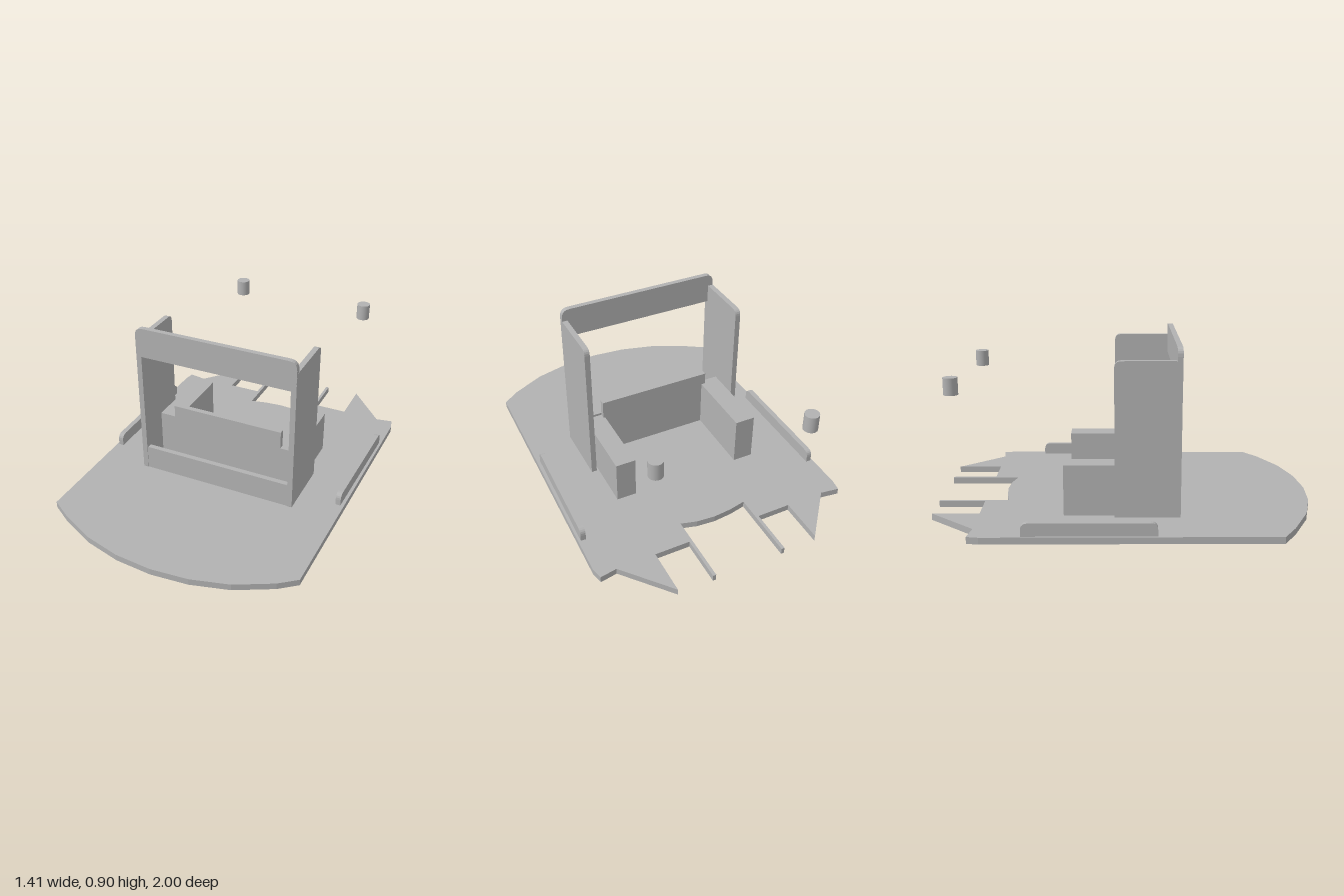
import * as THREE from 'three';

const grey = new THREE.MeshStandardMaterial({ color: 0xb2b2b2 });
grey.name = 'plain grey';

// Rounded rectangle from (a0, b0) to (a1, b1); rTop and rBottom are corner radii
function roundedRect(a0, b0, a1, b1, rTop, rBottom) {
  const s = new THREE.Shape();
  s.moveTo(a0 + rBottom, b0);
  s.lineTo(a1 - rBottom, b0);
  if (rBottom) s.quadraticCurveTo(a1, b0, a1, b0 + rBottom);
  s.lineTo(a1, b1 - rTop);
  s.quadraticCurveTo(a1, b1, a1 - rTop, b1);
  s.lineTo(a0 + rTop, b1);
  s.quadraticCurveTo(a0, b1, a0, b1 - rTop);
  s.lineTo(a0, b0 + rBottom);
  if (rBottom) s.quadraticCurveTo(a0, b0, a0 + rBottom, b0);
  return s;
}

function slab(shape, depth) {
  const g = new THREE.ExtrudeGeometry(shape, { depth, bevelEnabled: false, curveSegments: 5 });
  return g.translate(0, 0, -depth / 2);
}

export function createModel() {
  const model = new THREE.Group();
  model.name = 'deckWithFrame';

  function add(name, geometry, x = 0, y = 0, z = 0) {
    const mesh = new THREE.Mesh(geometry, grey);
    mesh.name = name;
    mesh.position.set(x, y, z);
    model.add(mesh);
    return mesh;
  }
  function addBox(name, x0, x1, y0, y1, z0, z1) {
    return add(name, new THREE.BoxGeometry(x1 - x0, y1 - y0, z1 - z0),
      (x0 + x1) / 2, (y0 + y1) / 2, (z0 + z1) / 2);
  }

  // Deck: bowed front edge, notched tail with two thin prongs, shallow arc between them
  const T = 0.035;
  const outline = [
    [-0.71, 0.76], [-0.6, 0.83], [-0.4, 0.927], [-0.2, 0.98], [0, 0.997],
    [0.2, 0.98], [0.4, 0.927], [0.59, 0.83], [0.68, 0.76],
    [0.705, -0.71], [0.69, -0.77], [0.6, -0.755], [0.39, -1], [0.39, -0.755],
    [0.2, -0.755], [0.2, -1], [0.183, -1], [0.183, -0.625], [0.1, -0.648],
    [0, -0.657], [-0.1, -0.648], [-0.19, -0.63], [-0.19, -1], [-0.207, -1],
    [-0.207, -0.755], [-0.39, -0.755], [-0.39, -1], [-0.6, -0.755],
    [-0.7, -0.77], [-0.71, -0.71],
  ];
  const deck = new THREE.Shape(outline.map(([x, z]) => new THREE.Vector2(x, -z)));
  add('deck', slab(deck, T).rotateX(-Math.PI / 2), 0, T / 2, 0);

  // Low rails along both edges of the deck
  for (const [name, x, turn] of [['rightRail', -0.685, 0], ['leftRail', 0.666, -0.025]]) {
    const rail = slab(roundedRect(-0.33, 0.02, 0.33, 0.102, 0.035, 0), 0.028);
    add(name, rail.rotateY(-Math.PI / 2), x, 0, -0.18).rotation.y = turn;
  }

  // Upright side walls of the frame
  for (const [name, x] of [['rightWall', -0.441], ['leftWall', 0.429]]) {
    const wall = slab(roundedRect(-0.06, 0.02, 0.275, 0.84, 0.035, 0.02), 0.029);
    add(name, wall.rotateY(-Math.PI / 2), x, 0, 0);
  }

  // Beams joining the walls at the front
  add('topBeam', slab(roundedRect(-0.455, 0.74, 0.443, 0.905, 0.045, 0), 0.028), 0, 0, 0.262);
  add('lowerBeam', slab(roundedRect(-0.427, 0.02, 0.416, 0.17, 0.012, 0), 0.028), 0, 0, 0.258);

  // Back panel with an arm block at each end
  addBox('panel', -0.335, 0.305, 0.02, 0.37, 0.08, 0.11);
  addBox('rightBlock', -0.423, -0.312, 0.02, 0.302, -0.32, 0.11);
  addBox('leftBlock', 0.295, 0.403, 0.02, 0.27, -0.32, 0.11);

  // Floating pegs behind the frame
  for (const [name, x, z] of [['rightPeg', -0.365, -0.875], ['leftPeg', 0.43, -0.845]]) {
    add(name, new THREE.CylinderGeometry(0.037, 0.037, 0.088, 24), x, 0.7, z);
  }
  return model;
}
